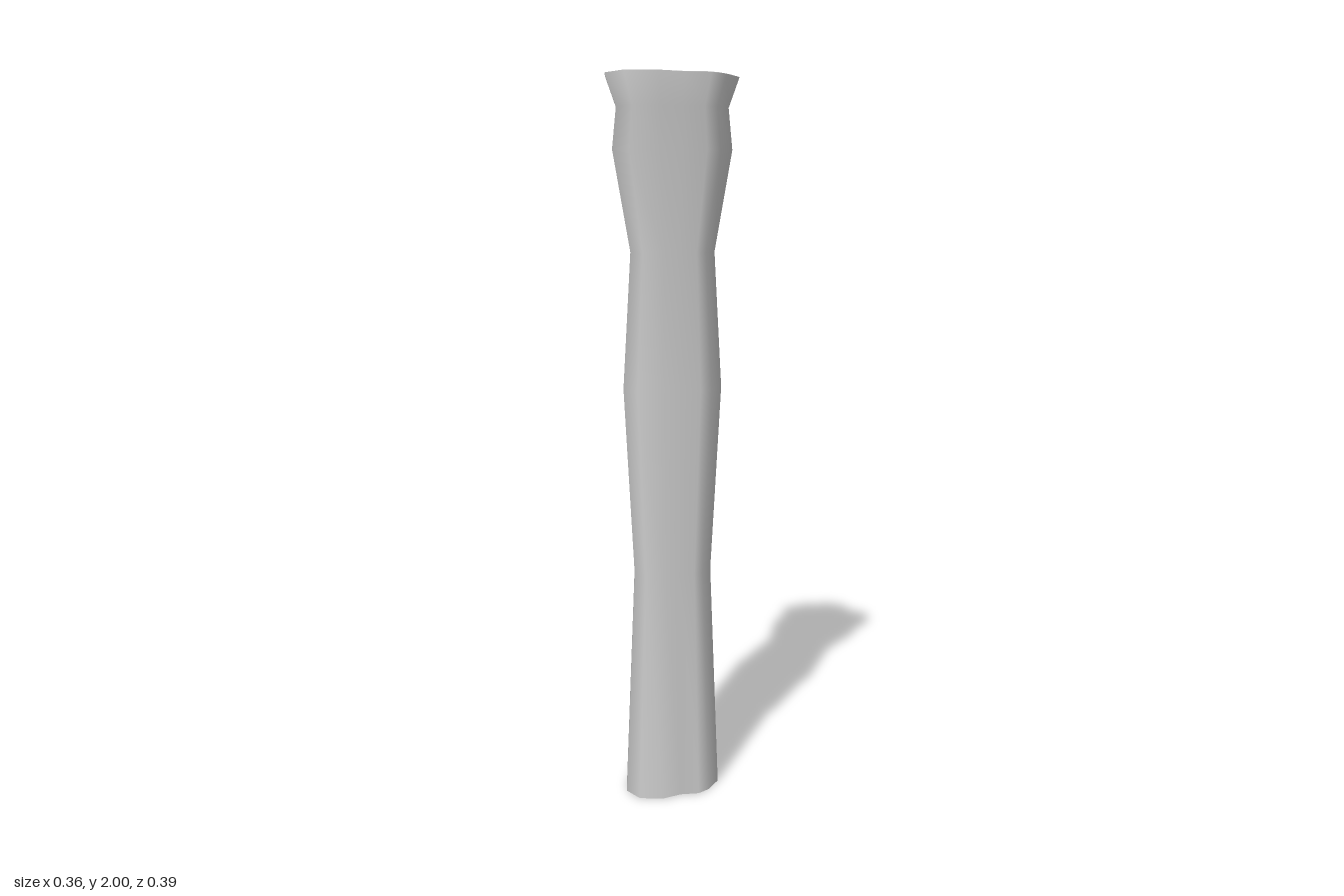
import * as THREE from 'three';

// Lobed cross-section at the rim, as [x, z], running from back via the left side to front
const OUTLINE = [
  [-0.006, -0.198], [0.065, -0.173], [0.092, -0.112], [0.151, -0.084],
  [0.178, -0.014], [0.154, 0.071], [0.121, 0.114], [0.054, 0.136],
  [-0.006, 0.184], [-0.094, 0.195], [-0.156, 0.138], [-0.174, 0.048],
  [-0.16, -0.014], [-0.18, -0.087], [-0.131, -0.136], [-0.078, -0.17],
];

// Height and scale of the cross-section, from the open foot to the flared rim and its cap
const RINGS = [
  [0, 0.74], [0.64, 0.6], [1.16, 0.755], [1.53, 0.64],
  [1.8, 0.9], [1.91, 0.84], [1.99, 1], [1.997, 0.86],
];

function trunkGeometry() {
  const n = OUTLINE.length;
  const positions = [];
  const index = [];
  for (const [y, s] of RINGS) {
    // the rim dips slightly towards the back
    const tilt = s === 1 ? 0.03 : 0;
    for (const [x, z] of OUTLINE) positions.push(x * s, y + z * tilt, z * s);
  }
  for (let j = 0; j < RINGS.length - 1; j++) {
    for (let i = 0; i < n; i++) {
      const a = j * n + i;
      const b = j * n + (i + 1) % n;
      index.push(a, a + n, b + n, a, b + n, b);
    }
  }
  // closed top, fanned from its centre
  const centre = RINGS.length * n;
  positions.push(0, 2, 0);
  for (let i = 0; i < n; i++) {
    index.push(centre - n + i, centre, centre - n + (i + 1) % n);
  }
  const geometry = new THREE.BufferGeometry();
  geometry.setAttribute('position', new THREE.Float32BufferAttribute(positions, 3));
  geometry.setIndex(index);
  geometry.computeVertexNormals();
  return geometry;
}

export function createModel() {
  const group = new THREE.Group();
  group.name = 'stalk';
  const material = new THREE.MeshStandardMaterial({ color: 0xcccccc, side: THREE.DoubleSide });
  const trunk = new THREE.Mesh(trunkGeometry(), material);
  trunk.name = 'trunk';
  group.add(trunk);
  return group;
}
